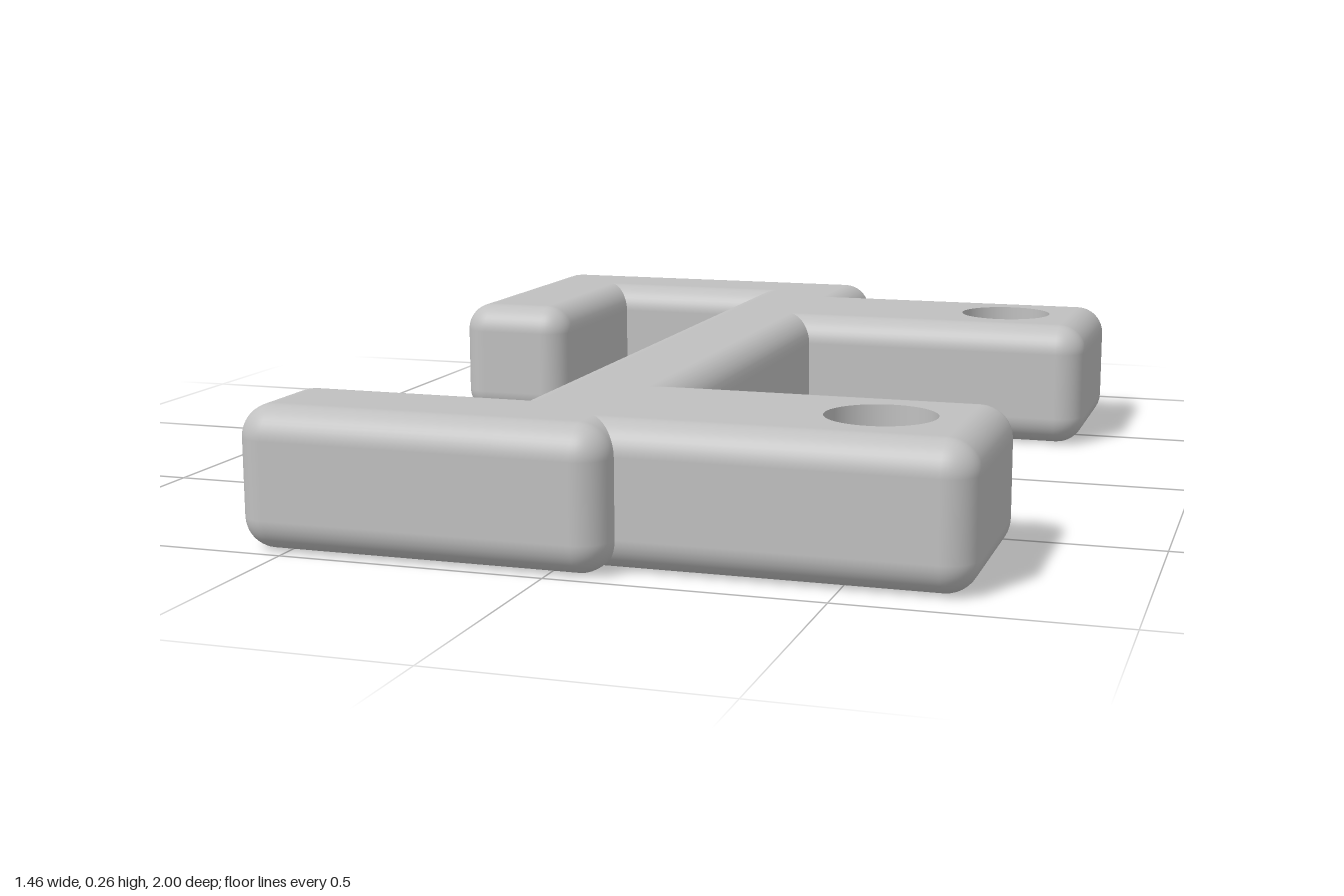
import * as THREE from 'three';
import { toCreasedNormals } from 'three/addons/utils/BufferGeometryUtils.js';
import { RoundedBoxGeometry } from 'three/addons/geometries/RoundedBoxGeometry.js';

const H = 0.264;      // height of every bar
const R = 0.06;       // edge rounding
const HOLE_R = 0.1;
const HOLE_DEPTH = 0.18;

const grey = new THREE.MeshStandardMaterial({ color: 0xc0c0c0 });
grey.name = 'grey';

function add(parent, name, geometry) {
  const mesh = new THREE.Mesh(geometry, grey);
  mesh.name = name;
  parent.add(mesh);
  return mesh;
}

// rounded bar spanning a footprint in x and z
function barGeometry(x0, x1, z0, z1) {
  const g = new RoundedBoxGeometry(x1 - x0, H, z1 - z0, 5, R);
  g.translate((x0 + x1) / 2, H / 2, (z0 + z1) / 2);
  return g;
}

// remove the flat top so that a drilled one can take its place
function openTop(geometry) {
  const g = geometry.index ? geometry.toNonIndexed() : geometry;
  const p = g.attributes.position;
  const kept = [];
  for (let i = 0; i < p.count; i += 3) {
    const flat = [0, 1, 2].every((k) => p.getY(i + k) > H - 1e-5);
    if (!flat) kept.push(i, i + 1, i + 2);
  }
  g.clearGroups();
  g.setIndex(kept);
  return g;
}

// tab with a blind round hole in its top
function drilledTab(name, x0, x1, z0, z1, holeX, holeZ) {
  const tab = new THREE.Group();
  tab.name = name;
  add(tab, name + 'Body', openTop(barGeometry(x0, x1, z0, z1)));

  // flat top with the opening; shape y becomes -z
  const [a, b, c, d] = [x0 + R, x1 - R, -(z1 - R), -(z0 + R)];
  const top = new THREE.Shape([
    new THREE.Vector2(a, c), new THREE.Vector2(b, c),
    new THREE.Vector2(b, d), new THREE.Vector2(a, d),
  ]);
  top.holes.push(new THREE.Path().absarc(holeX, -holeZ, HOLE_R, 0, Math.PI * 2, true));
  const topGeometry = new THREE.ShapeGeometry(top, 24);
  topGeometry.rotateX(-Math.PI / 2).translate(0, H, 0);
  add(tab, name + 'Top', topGeometry);

  // wall and floor of the hole, facing inward
  const floor = H - HOLE_DEPTH;
  const pit = new THREE.LatheGeometry([
    new THREE.Vector2(HOLE_R, H),
    new THREE.Vector2(HOLE_R, floor),
    new THREE.Vector2(0, floor),
  ], 48);
  add(tab, name + 'Hole', toCreasedNormals(pit, 0.6)).position.set(holeX, 0, holeZ);
  return tab;
}

export function createModel() {
  const model = new THREE.Group();
  model.name = 'bracket';

  // long spine with the bars at its two ends
  add(model, 'spine', barGeometry(-0.15, 0.11, -1, 1));
  add(model, 'backBar', barGeometry(-0.73, 0.11, -1, -0.74));
  add(model, 'hookArm', barGeometry(-0.73, -0.47, -1, -0.3));
  add(model, 'frontBar', barGeometry(-0.59, 0.11, 0.735, 1));

  // two mounting tabs
  model.add(drilledTab('backTab', -0.08, 0.73, -0.765, -0.355, 0.525, -0.56));
  model.add(drilledTab('frontTab', -0.08, 0.73, 0.53, 0.94, 0.525, 0.735));
  return model;
}
